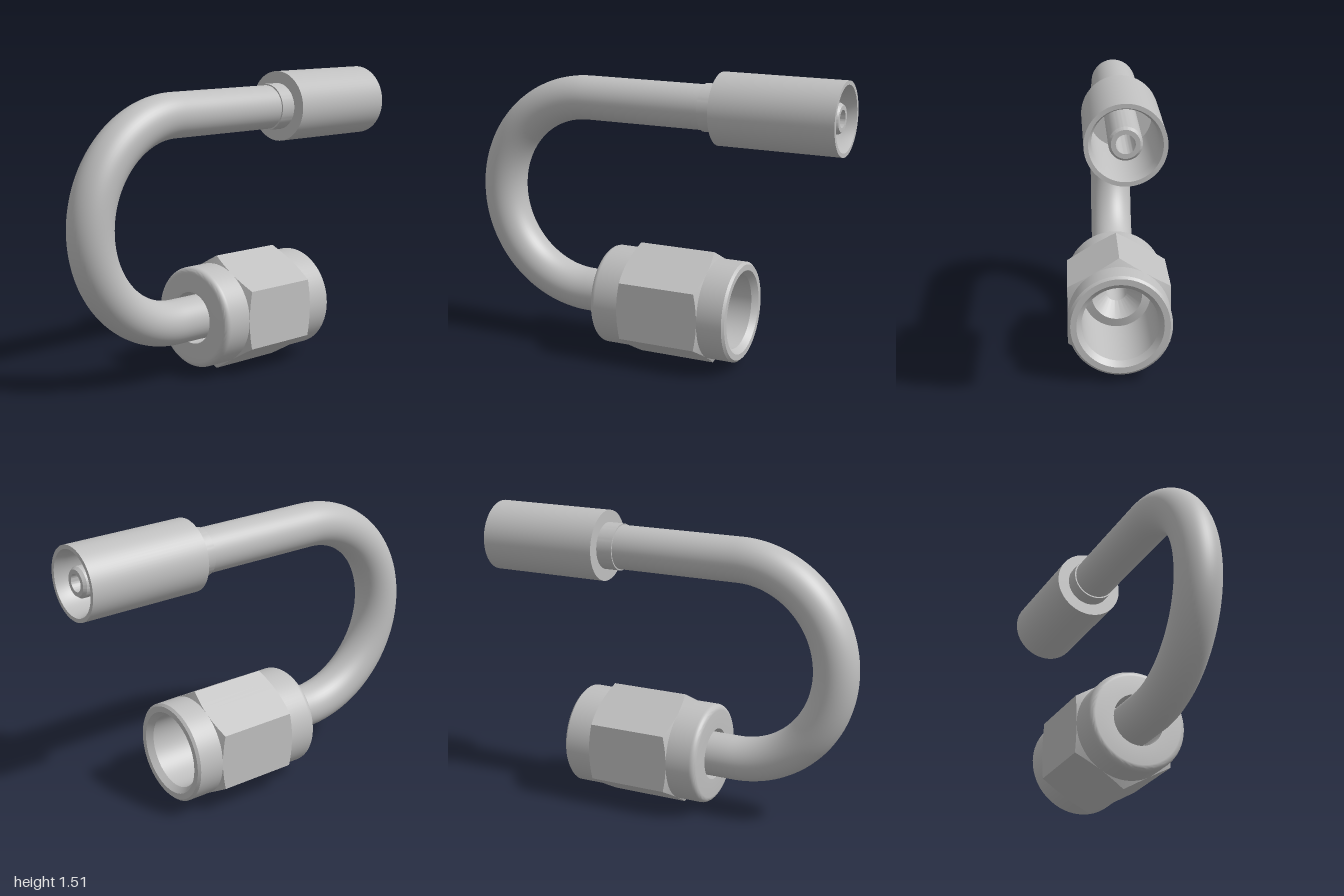
import * as THREE from 'three';
import { toCreasedNormals } from 'three/addons/utils/BufferGeometryUtils.js';

const NUT_Y = 0.298, FERRULE_Y = 1.33, BEND_X = -0.37;
const APOTHEM = 0.257;

// U-shaped centre line: lower straight, half-circle bend, upper straight
class BendCurve extends THREE.Curve {
  constructor(lowEnd, highEnd) {
    super();
    this.r = (FERRULE_Y - NUT_Y) / 2;
    this.a = lowEnd - BEND_X;
    this.b = Math.PI * this.r;
    this.c = highEnd - BEND_X;
  }
  getPoint(t, target = new THREE.Vector3()) {
    const s = t * (this.a + this.b + this.c);
    if (s < this.a) return target.set(BEND_X + this.a - s, NUT_Y, 0);
    if (s > this.a + this.b) return target.set(BEND_X + s - this.a - this.b, FERRULE_Y, 0);
    const w = (s - this.a) / this.r;
    return target.set(BEND_X - this.r * Math.sin(w), NUT_Y + this.r * (1 - Math.cos(w)), 0);
  }
}

// Turned part along x from [radius, x] pairs
function turned(profile) {
  const g = new THREE.LatheGeometry(profile.map(([r, x]) => new THREE.Vector2(r, x)), 72);
  g.rotateZ(-Math.PI / 2);
  return toCreasedNormals(g, 0.5);
}

// Hexagon along x whose corners are trimmed by a cone at both ends
function chamferedHex(x0, x1) {
  const per = 12, n = per * 6, pos = [], idx = [];
  for (let i = 0; i <= n; i++) {
    const t = (i / n) * Math.PI * 2;
    const r = APOTHEM / Math.cos(((i % per) / per) * Math.PI / 3 - Math.PI / 6);
    const cut = (r - APOTHEM) * 0.42;
    for (const [x, rad] of [[x0, APOTHEM], [x0 + cut, r], [x1 - cut, r], [x1, APOTHEM]])
      pos.push(x, rad * Math.cos(t), rad * Math.sin(t));
    if (i === n) break;
    for (let j = 0; j < 3; j++) {
      const a = i * 4 + j, b = a + 4;
      idx.push(a, b, a + 1, b, b + 1, a + 1);
    }
  }
  const g = new THREE.BufferGeometry();
  g.setAttribute('position', new THREE.Float32BufferAttribute(pos, 3));
  g.setIndex(idx);
  return toCreasedNormals(g, 0.4);
}

export function createModel() {
  const model = new THREE.Group();
  model.name = 'hoseFitting';
  const steel = new THREE.MeshStandardMaterial({ color: 0xbfbfbf, side: THREE.DoubleSide });
  steel.name = 'steel';

  const add = (name, geometry, y = 0) => {
    const m = new THREE.Mesh(geometry, steel);
    m.name = name;
    m.position.y = y;
    model.add(m);
  };

  // Hollow bent pipe
  const path = new BendCurve(-0.02, 0.37);
  add('pipe', new THREE.TubeGeometry(path, 120, 0.113, 48));
  add('pipeBore', new THREE.TubeGeometry(path, 120, 0.058, 32));

  // Swivel nut: turned body with rounded back and open front, plus hexagon
  const fillet = [];
  for (let i = 0; i <= 6; i++) {
    const a = (i / 6) * Math.PI / 2;
    fillet.push([0.227 + 0.03 * Math.sin(a), -0.22 - 0.03 * Math.cos(a)]);
  }
  add('nutBody', turned([
    [0.132, -0.25], ...fillet,
    [APOTHEM, 0.483], [0.245, 0.495], [0.215, 0.495], [0.19, 0.465],
    [0.187, -0.06], [0.132, -0.06], [0.132, -0.25],
  ]), NUT_Y);
  add('nutHexagon', chamferedHex(-0.093, 0.35), NUT_Y);

  // Conical seat inside the nut
  add('flareSeat', turned([
    [0.058, -0.06], [0.175, -0.06], [0.175, 0.05], [0.13, 0.06],
    [0.058, -0.03], [0.058, -0.06],
  ]), NUT_Y);

  // Collar, crimp ferrule and inner nipple at the hose end
  add('collar', turned([[0.108, 0.28], [0.12, 0.28], [0.12, 0.37]]), FERRULE_Y);
  add('ferrule', turned([
    [0.07, 0.365], [0.182, 0.365], [0.182, 1], [0.162, 1],
    [0.148, 0.95], [0.148, 0.42], [0.07, 0.42],
  ]), FERRULE_Y);
  add('nipple', turned([
    [0.043, 0.36], [0.075, 0.36], [0.075, 0.965], [0.064, 0.98],
    [0.043, 0.98], [0.043, 0.36],
  ]), FERRULE_Y);

  return model;
}
